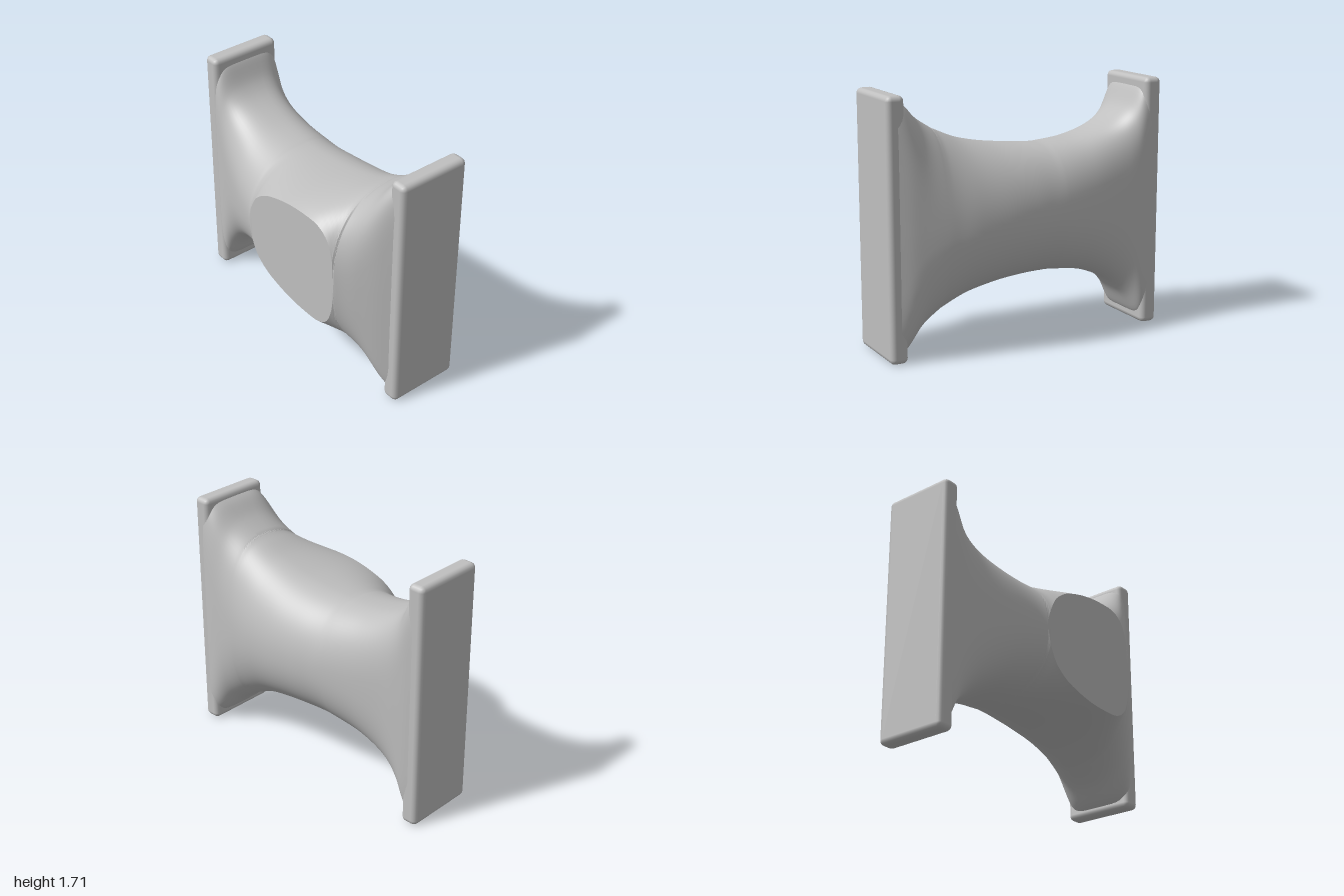
import * as THREE from 'three';
import { toCreasedNormals } from 'three/addons/utils/BufferGeometryUtils.js';
import { RoundedBoxGeometry } from 'three/addons/geometries/RoundedBoxGeometry.js';

// Body stations: x, top y, bottom y, back z, front z (before the flat cut), squareness
const STATIONS = [
  [-0.93, 1.69, 0.03, -0.31, 0.195, 7],
  [-0.88, 1.64, 0.06, -0.318, 0.21, 6],
  [-0.80, 1.49, 0.20, -0.325, 0.235, 4],
  [-0.68, 1.395, 0.31, -0.335, 0.28, 3],
  [-0.48, 1.325, 0.395, -0.36, 0.35, 2.5],
  [-0.25, 1.297, 0.425, -0.39, 0.42, 2.2],
  [-0.15, 1.295, 0.427, -0.402, 0.51, 2.1],
  [0.00, 1.302, 0.422, -0.418, 0.65, 2.1],
  [0.19, 1.325, 0.40, -0.425, 0.75, 2.1],
  [0.40, 1.375, 0.35, -0.412, 0.66, 2.1],
  [0.55, 1.435, 0.285, -0.39, 0.51, 2.2],
  [0.63, 1.475, 0.245, -0.378, 0.42, 2.4],
  [0.75, 1.555, 0.165, -0.357, 0.34, 3],
  [0.85, 1.65, 0.065, -0.338, 0.27, 4.5],
  [0.93, 1.70, 0.015, -0.315, 0.205, 7],
];
const FLAT_Z = 0.42, AXIS_Z = -0.05, STEPS = 6, AROUND = 72;

// Smooth station at a fractional row
function stationAt(u) {
  const last = STATIONS.length - 1;
  const i = Math.min(Math.floor(u), last - 1), t = u - i;
  const row = (k) => STATIONS[Math.max(0, Math.min(last, k))];
  const [a, b, c, d] = [row(i - 1), row(i), row(i + 1), row(i + 2)];
  return b.map((v, k) => v + 0.5 * t * (c[k] - a[k] + t * (2 * a[k] - 5 * v + 4 * c[k] - d[k]
    + t * (3 * (v - c[k]) + d[k] - a[k]))));
}

// Flared body lofted along x, with its front bulge sliced off flat
function bodyGeometry() {
  const pos = [], index = [], rows = (STATIONS.length - 1) * STEPS, cut = [];
  for (let i = 0; i <= rows; i++) {
    const [x, top, bottom, back, front, n] = stationAt(i / STEPS);
    const reach = (FLAT_Z - AXIS_Z) / (front - AXIS_Z);
    const start = reach < 1 ? Math.acos(Math.pow(reach, n / 2)) : 0;
    cut.push(start > 1e-4);
    for (let j = 0; j <= AROUND; j++) {
      const t = start + (2 * Math.PI - 2 * start) * j / AROUND;
      const c = Math.cos(t), s = Math.sin(t);
      const z = Math.sign(c) * Math.pow(Math.abs(c), 2 / n);
      const y = Math.sign(s) * Math.pow(Math.abs(s), 2 / n);
      pos.push(x, (top + bottom) / 2 + y * (top - bottom) / 2,
        AXIS_Z + z * (c > 0 ? front - AXIS_Z : AXIS_Z - back));
    }
  }
  const w = AROUND + 1;
  const quad = (a, b, c, d) => index.push(a, b, d, b, c, d);
  for (let i = 0; i < rows; i++) {
    for (let j = 0; j < AROUND; j++) {
      const a = i * w + j;
      quad(a, a + w, a + w + 1, a + 1);
    }
    // Flat face across the cut
    if (cut[i] || cut[i + 1]) quad(i * w + AROUND, (i + 1) * w + AROUND, (i + 1) * w, i * w);
  }
  const g = new THREE.BufferGeometry();
  g.setAttribute('position', new THREE.Float32BufferAttribute(pos, 3));
  g.setIndex(index);
  return toCreasedNormals(g, 0.5);
}

export function createModel() {
  const group = new THREE.Group();
  const grey = new THREE.MeshStandardMaterial({ color: 0xbfbfbf });
  grey.name = 'light grey';

  const body = new THREE.Mesh(bodyGeometry(), grey);
  body.name = 'flaredBody';
  group.add(body);

  // Upright end plates with softened edges
  for (const side of [-1, 1]) {
    const plate = new THREE.Mesh(new RoundedBoxGeometry(0.12, 1.71, 0.51, 2, 0.035), grey);
    plate.name = side > 0 ? 'leftEndPlate' : 'rightEndPlate';
    plate.position.set(side * 0.94, 0.855, -0.053);
    group.add(plate);
  }
  return group;
}
